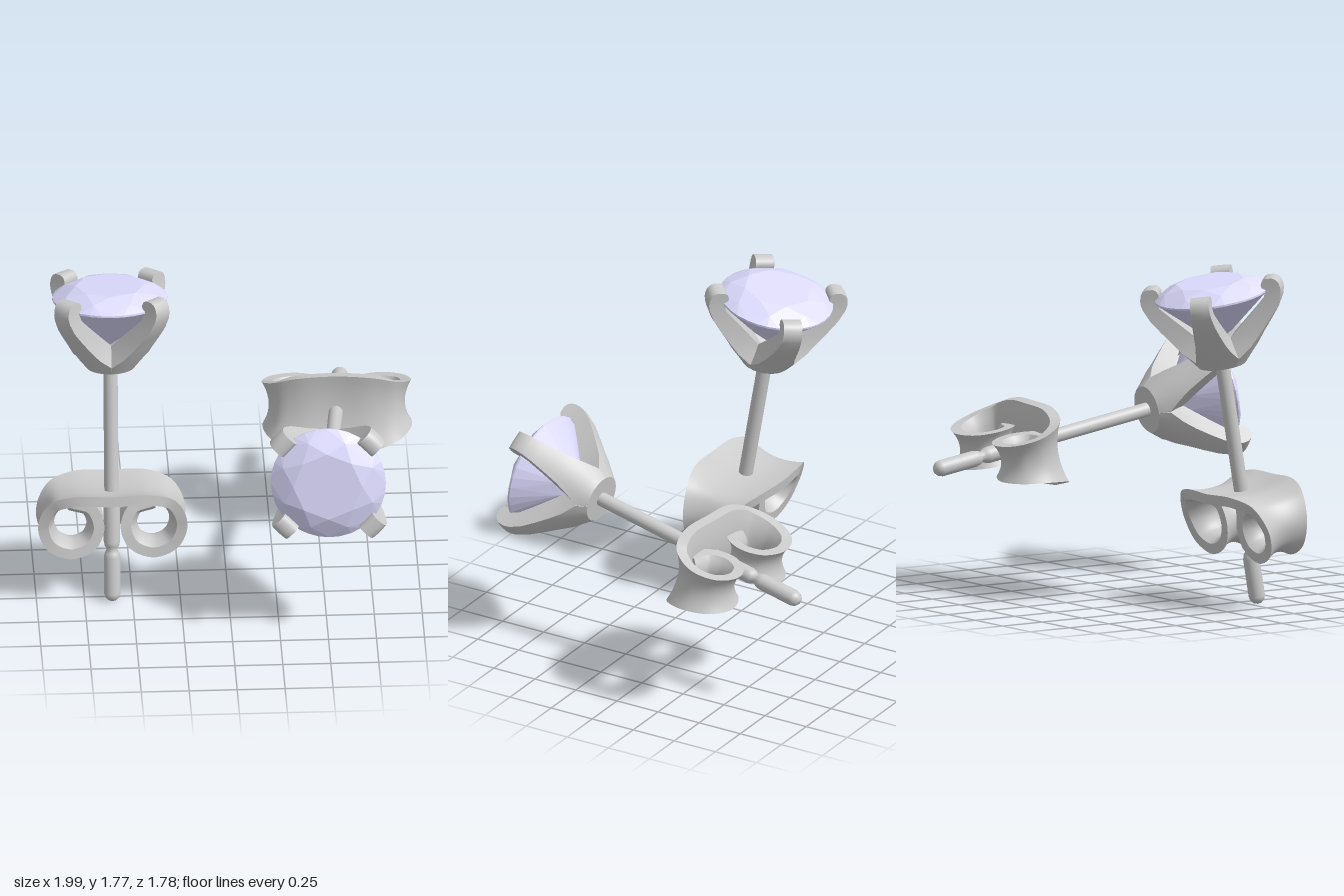
import * as THREE from 'three';
import { toCreasedNormals } from 'three/addons/utils/BufferGeometryUtils.js';
import { ConvexGeometry } from 'three/addons/geometries/ConvexGeometry.js';

const metal = new THREE.MeshStandardMaterial({ color: 0xcccccc });
const stone = new THREE.MeshStandardMaterial({ color: 0xdedcff, flatShading: true });

function part(name, geometry, material = metal) {
  const mesh = new THREE.Mesh(geometry, material);
  mesh.name = name;
  return mesh;
}

// Joins closed sections (outer points, then inner points reversed) and caps both ends
function loft(sections) {
  const n = sections[0].length, last = (sections.length - 1) * n, index = [];
  for (let i = 0; i < sections.length - 1; i++) {
    for (let j = 0; j < n; j++) {
      const a = i * n + j, b = i * n + (j + 1) % n;
      index.push(a, a + n, b, b, a + n, b + n);
    }
  }
  for (let k = 0; k < n / 2 - 1; k++) {
    const a = k, b = k + 1, c = n - 2 - k, d = n - 1 - k;
    index.push(a, b, d, b, c, d);
    index.push(last + a, last + d, last + b, last + b, last + d, last + c);
  }
  const geometry = new THREE.BufferGeometry();
  geometry.setAttribute('position', new THREE.Float32BufferAttribute(sections.flat(2), 3));
  geometry.setIndex(index);
  return toCreasedNormals(geometry, 0.65);
}

// Claw: height, inner radius, outer radius, half width
function prongGeometry() {
  const rows = [
    [0, 0, 0.125, 0.088], [0.05, 0, 0.165, 0.114], [0.1, 0.04, 0.207, 0.096],
    [0.155, 0.08, 0.246, 0.08], [0.22, 0.15, 0.296, 0.069], [0.28, 0.215, 0.34, 0.06],
    [0.34, 0.277, 0.37, 0.053], [0.37, 0.288, 0.377, 0.051], [0.39, 0.276, 0.377, 0.05],
    [0.415, 0.273, 0.372, 0.05], [0.435, 0.282, 0.358, 0.05], [0.445, 0.3, 0.338, 0.05],
  ];
  const steps = 6;
  return loft(rows.map(([h, inner, outer, w]) => {
    const front = [], back = [], a = Math.asin(w / outer);
    for (let k = 0; k <= steps; k++) {
      const t = (k / steps) * 2 - 1;
      front.push([outer * Math.cos(a * t), h, outer * Math.sin(a * t)]);
      back.unshift([inner, h, outer * Math.sin(a * t)]);
    }
    return [...front, ...back];
  }));
}

// Round cut stone: table, crown, girdle and pavilion facets
function gemGeometry() {
  const points = [new THREE.Vector3(0, 0.12, 0)];
  const ring = (count, r, h, turn) => {
    for (let i = 0; i < count; i++) {
      const a = ((i + turn) / count) * Math.PI * 2;
      points.push(new THREE.Vector3(r * Math.cos(a), h, r * Math.sin(a)));
    }
  };
  ring(8, 0.18, 0.45, 0);
  ring(8, 0.25, 0.423, 0.5);
  ring(32, 0.3, 0.386, 0);
  ring(32, 0.3, 0.376, 0);
  ring(8, 0.1, 0.195, 0.5);
  return new ConvexGeometry(points);
}

// Flared strip that curls into two loops: x, height, half width
function clutchGeometry() {
  const half = [
    [0.2, -0.65, 0.2], [0.33, -0.7, 0.16], [0.39, -0.84, 0.122], [0.34, -0.975, 0.104],
    [0.215, -1.03, 0.097], [0.09, -0.98, 0.092], [0.042, -0.86, 0.09], [0.09, -0.74, 0.085],
    [0.2, -0.7, 0.08],
  ];
  const left = half.map(([x, y, w]) => [-x, y, w]).reverse();
  const curve = new THREE.CatmullRomCurve3(
    [...left, [0, -0.65, 0.212], ...half].map((p) => new THREE.Vector3(...p)));
  const sections = [], count = 110, across = 10, flare = 0.035, thick = 0.055;
  for (let i = 0; i <= count; i++) {
    const p = curve.getPoint(i / count), t = curve.getTangent(i / count);
    const len = Math.hypot(t.x, t.y), nx = -t.y / len, ny = t.x / len;
    const outer = [], inner = [];
    for (let k = 0; k <= across; k++) {
      const v = 1 - (2 * k) / across, o = flare * (v * v - 1);
      outer.push([p.x + nx * o, p.y + ny * o, p.z * v]);
      inner.unshift([p.x + nx * (o - thick), p.y + ny * (o - thick), p.z * v]);
    }
    sections.push([...outer, ...inner]);
  }
  return loft(sections);
}

// Pin with a rounded tip and a locking groove
function postGeometry() {
  const profile = [
    [0, -1.3], [0.022, -1.293], [0.037, -1.278], [0.043, -1.257], [0.043, -1.055],
    [0.037, -1.03], [0.026, -1.012], [0.037, -0.994], [0.043, -0.97], [0.043, -0.74],
    [0.0375, -0.725], [0.0375, 0.03],
  ].map((p) => new THREE.Vector2(...p));
  return new THREE.LatheGeometry(profile, 32);
}

export function createModel() {
  const model = new THREE.Group();
  model.name = 'studEarrings';
  const prong = prongGeometry(), gem = gemGeometry();
  const clutch = clutchGeometry(), post = postGeometry();

  const earring = (name) => {
    const group = new THREE.Group();
    group.name = name;
    group.add(part('post', post), part('clutch', clutch), part('gem', gem, stone));
    for (let i = 0; i < 4; i++) {
      const claw = part('prong', prong);
      claw.rotation.y = Math.PI / 4 + (i * Math.PI) / 2;
      group.add(claw);
    }
    model.add(group);
    return group;
  };

  const deg = Math.PI / 180;
  const standing = earring('standingEarring');
  standing.position.set(-0.605, 1.285, 0.07);
  standing.rotation.x = -10 * deg;

  const lying = earring('lyingEarring');
  lying.position.set(0.53, 0.883, 0.38);
  lying.rotation.set(80 * deg, -4.8 * deg, 0, 'YXZ');
  lying.rotateY(1.7 * deg);
  return model;
}
